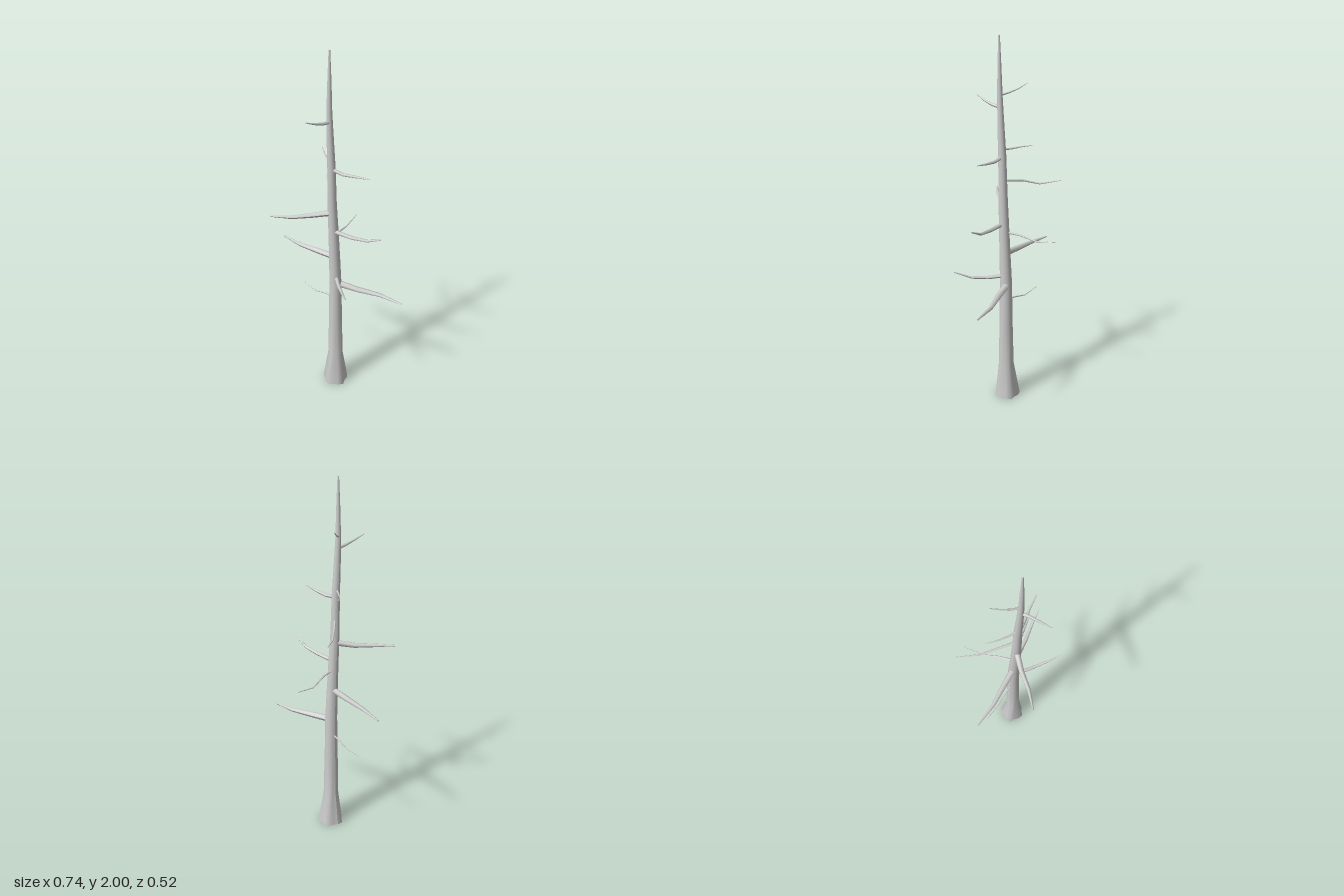
import * as THREE from 'three';

const material = new THREE.MeshStandardMaterial({ color: 0xcccccc });

// Tapered tube through points [x, y, z, radius]; lobes(angle, ring) scales the radius.
function limb(name, points, sides, lobes = () => 1) {
  const centres = points.map(([x, y, z]) => new THREE.Vector3(x, y, z));
  const last = points.length - 1;
  const positions = [], indices = [];
  const ringStart = (i) => i * (sides + 1);

  points.forEach((p, i) => {
    const dir = centres[Math.min(i + 1, last)].clone().sub(centres[Math.max(i - 1, 0)]).normalize();
    if (name === 'trunk') dir.set(0, 1, 0);
    const ref = Math.abs(dir.y) > 0.9 ? new THREE.Vector3(0, 0, 1) : new THREE.Vector3(0, 1, 0);
    const u = new THREE.Vector3().crossVectors(ref, dir).normalize();
    const v = new THREE.Vector3().crossVectors(dir, u);
    for (let s = 0; s <= sides; s++) {
      const a = ((s % sides) / sides) * Math.PI * 2;
      const r = p[3] * lobes(a, i);
      positions.push(...centres[i].clone()
        .addScaledVector(u, Math.cos(a) * r).addScaledVector(v, Math.sin(a) * r).toArray());
    }
  });
  for (let i = 0; i < last; i++) {
    for (let s = 0; s < sides; s++) {
      const a = ringStart(i) + s, b = a + 1, c = ringStart(i + 1) + s, d = c + 1;
      indices.push(a, b, d, a, d, c);
    }
  }
  // End caps with their own vertices so the edges stay sharp
  for (const end of [0, last]) {
    const base = positions.length / 3;
    const from = ringStart(end) * 3;
    positions.push(...positions.slice(from, from + (sides + 1) * 3), ...centres[end].toArray());
    const mid = base + sides + 1;
    for (let s = 0; s < sides; s++) {
      if (end === 0) indices.push(mid, base + s + 1, base + s);
      else indices.push(mid, base + s, base + s + 1);
    }
  }
  const geometry = new THREE.BufferGeometry();
  geometry.setAttribute('position', new THREE.Float32BufferAttribute(positions, 3));
  geometry.setIndex(indices);
  geometry.computeVertexNormals();
  const mesh = new THREE.Mesh(geometry, material);
  mesh.name = name;
  return mesh;
}

// Branch through a few points, tapering from radius r to a fine tip
function branch(name, r, path) {
  const taper = [1, 0.85, 0.6, 0.22];
  return limb(name, path.map((p, i) => [...p, Math.max(r * taper[i], 0.0015)]), 7);
}

export function createModel() {
  const tree = new THREE.Group();
  tree.name = 'bareTree';

  // Trunk: root flare with five lobes, gentle forward lean, pointed top
  const flare = [0.12, 0.04];
  tree.add(limb('trunk', [
    [0, 0, 0.006, 0.067], [0.003, 0.2, 0.01, 0.042], [0.003, 0.45, 0.01, 0.037],
    [0.003, 0.7, 0.01, 0.033], [0.003, 0.85, 0.016, 0.03], [0.002, 1.03, 0.024, 0.027],
    [0, 1.2, 0.032, 0.024], [0, 1.4, 0.036, 0.021], [0, 1.55, 0.044, 0.018],
    [0, 1.7, 0.05, 0.014], [0.002, 1.85, 0.051, 0.01], [0.003, 2, 0.051, 0.004],
  ], 15, (a, i) => 1 + (flare[i] || 0) * Math.cos(5 * (a - Math.PI / 2))));

  // Heavy limbs
  tree.add(
    branch('lowerLeftLimb', 0.019, [[0.01, 0.69, 0], [0.12, 0.678, -0.037], [0.235, 0.67, -0.083], [0.366, 0.66, -0.105]]),
    branch('lowerRightLimb', 0.018, [[0, 0.87, 0.016], [-0.12, 0.862, 0.022], [-0.235, 0.855, 0.028], [-0.37, 0.853, 0.017]]),
    branch('upperRightLimb', 0.016, [[0, 1.145, 0.03], [-0.075, 1.135, 0.105], [-0.14, 1.135, 0.187], [-0.22, 1.143, 0.259]]),
  );

  // Medium branches
  tree.add(
    branch('lowerFrontBranch', 0.011, [[0.01, 0.743, 0.015], [0.08, 0.738, 0.072], [0.15, 0.748, 0.125], [0.22, 0.785, 0.186]]),
    branch('middleLeftBranch', 0.012, [[0.01, 1.035, 0.03], [0.12, 1.035, 0.018], [0.21, 1.045, 0.003], [0.289, 1.08, -0.004]]),
    branch('upperLeftBranch', 0.01, [[0.01, 1.395, 0.037], [0.07, 1.386, 0.03], [0.145, 1.393, 0.018], [0.219, 1.402, 0.012]]),
  );

  // Twigs
  tree.add(
    branch('lowRightTwig', 0.005, [[0, 0.596, 0.01], [-0.07, 0.588, 0.005], [-0.155, 0.567, 0.003], [-0.253, 0.585, -0.005]]),
    branch('backTwig', 0.006, [[0, 0.99, 0.02], [-0.022, 0.986, -0.06], [-0.053, 0.962, -0.15], [-0.071, 0.98, -0.262]]),
    branch('backRightTwig', 0.007, [[0, 1.273, 0.03], [-0.08, 1.268, -0.035], [-0.145, 1.246, -0.098], [-0.218, 1.264, -0.185]]),
    branch('highRightTwig', 0.006, [[0, 1.437, 0.04], [-0.045, 1.434, 0.018], [-0.09, 1.44, -0.012], [-0.14, 1.445, -0.055]]),
    branch('topFrontTwig', 0.009, [[0, 1.65, 0.048], [0.003, 1.658, 0.1], [0, 1.672, 0.15], [-0.008, 1.695, 0.21]]),
    branch('topRightTwig', 0.006, [[0, 1.71, 0.05], [-0.035, 1.722, 0.022], [-0.065, 1.74, -0.012], [-0.096, 1.77, -0.05]]),
  );
  return tree;
}
